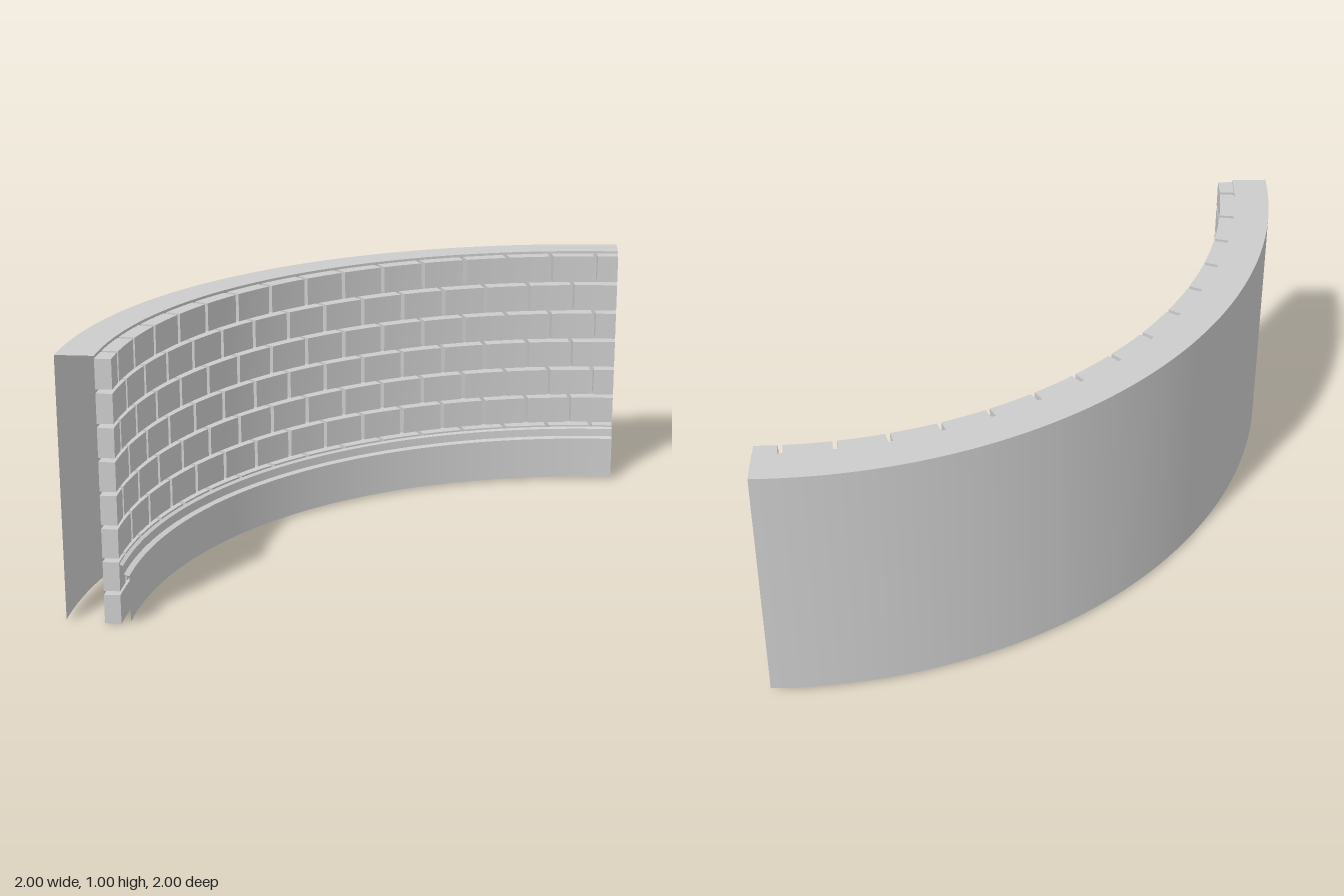
import * as THREE from 'three';

const CX = 1, CZ = 1;                 // centre of curvature
const ARC = Math.PI / 2, START = Math.PI;
const OUTER = 2, MORTAR = 1.86, FACE = 1.8;
const COURSES = 8, PITCH = 0.125, BRICK_H = 0.11;
const STEP = ARC / 15, JOINT = 0.017 / FACE;

const solid = new THREE.MeshStandardMaterial({ color: 0xcccccc });
const sheet = new THREE.MeshStandardMaterial({ color: 0xcccccc, side: THREE.DoubleSide });

// Open quarter-turn strips along a profile of [radius, y], one per segment so edges stay sharp
function sweep(name, profile) {
  const group = new THREE.Group();
  group.name = name;
  for (let i = 0; i < profile.length - 1; i++) {
    const pts = [profile[i], profile[i + 1]].map(([r, y]) => new THREE.Vector2(r, y));
    const mesh = new THREE.Mesh(new THREE.LatheGeometry(pts, 60, START, ARC), sheet);
    mesh.name = name + 'Strip';
    group.add(mesh);
  }
  return group;
}

// Box bent around the centre of curvature between angles a0 and a1
function brick(a0, a1, y0) {
  const segs = Math.max(1, Math.round((a1 - a0) / STEP * 4));
  const geo = new THREE.BoxGeometry(a1 - a0, BRICK_H, MORTAR - FACE, segs, 1, 1);
  const p = geo.attributes.position;
  for (let i = 0; i < p.count; i++) {
    const a = START + (a0 + a1) / 2 + p.getX(i);
    const r = (FACE + MORTAR) / 2 + p.getZ(i);
    p.setXYZ(i, r * Math.sin(a), y0 + BRICK_H / 2 + p.getY(i), r * Math.cos(a));
  }
  geo.computeVertexNormals();
  const mesh = new THREE.Mesh(geo, solid);
  mesh.name = 'brick';
  return mesh;
}

export function createModel() {
  const model = new THREE.Group();
  model.name = 'curvedBrickWall';
  const wall = new THREE.Group();
  wall.name = 'wall';
  wall.position.set(CX, 0, CZ);
  model.add(wall);

  // Outer shell, flat top and mortar backing, open at the ends and below
  wall.add(sweep('shell', [[OUTER, 0.01], [OUTER, 0.995], [MORTAR, 0.995], [MORTAR, 0.01]]));

  // Running-bond courses, odd ones shifted by half a brick
  for (let c = 0; c < COURSES; c++) {
    const course = new THREE.Group();
    course.name = 'brickCourse';
    const shift = c % 2 ? STEP / 2 : 0;
    for (let k = -1; k < 15; k++) {
      const from = Math.max(0, k * STEP + shift);
      const to = Math.min(ARC, (k + 1) * STEP + shift);
      if (to - from < 0.01) continue;
      const a0 = from > 0 ? from + JOINT / 2 : 0;
      const a1 = to < ARC - 1e-6 ? to - JOINT / 2 : ARC;
      course.add(brick(a0, a1, c * PITCH));
    }
    wall.add(course);
  }

  // Skirting board with a stepped top
  wall.add(sweep('skirting', [
    [FACE, 0.228], [1.787, 0.222], [1.785, 0.19], [1.765, 0.184], [1.765, 0.01],
  ]));

  return model;
}
